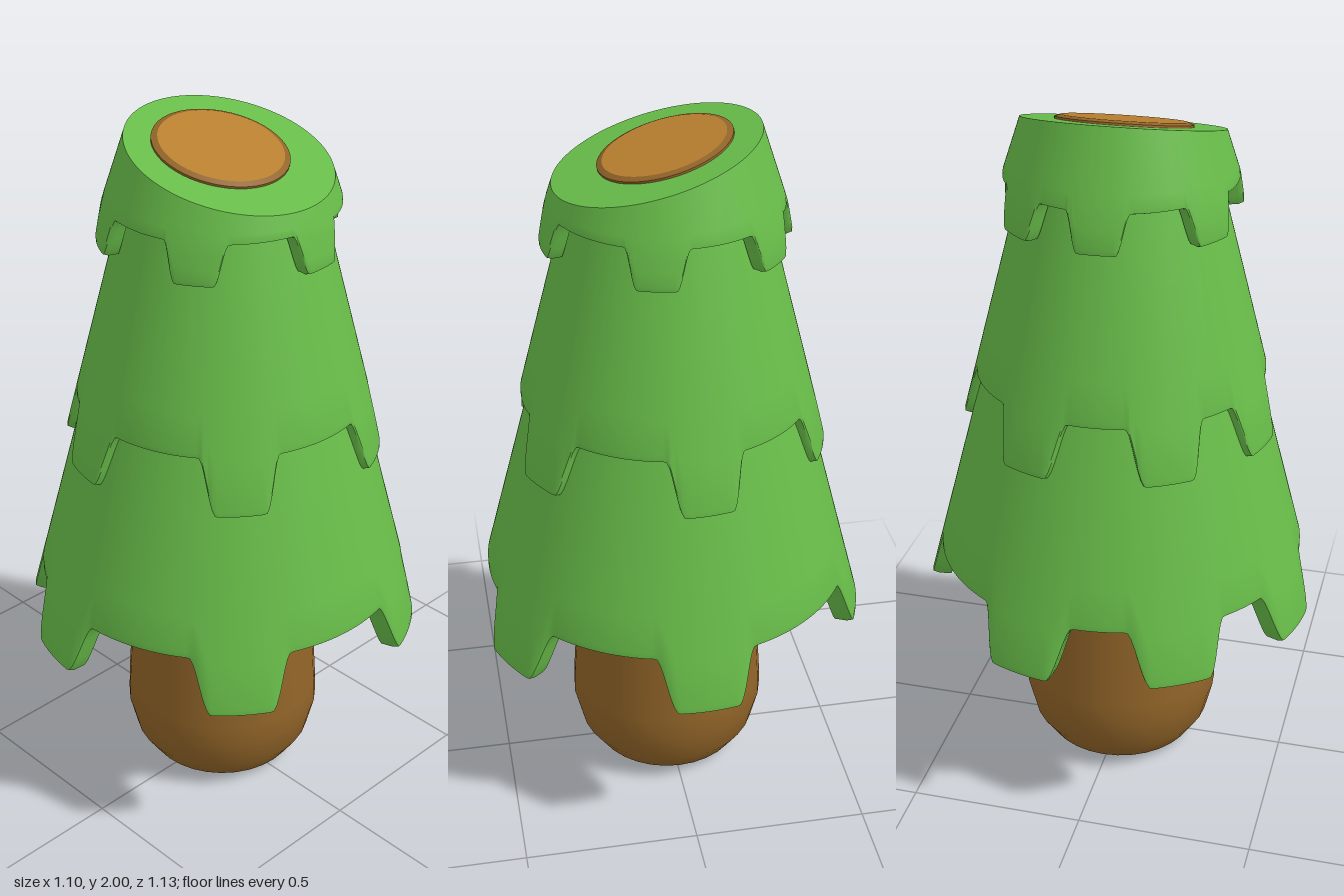
import * as THREE from 'three';
import { mergeVertices, toCreasedNormals } from 'three/addons/utils/BufferGeometryUtils.js';

const mat = (color) => new THREE.MeshStandardMaterial({ color });
const leaf = mat(0x68bd49), bark = mat(0x916428), wood = mat(0xb98030);
const SEGMENTS = 360;
const CUT_SLOPE = 0.273, CUT_Y = 1.932;

// 1 on a tab, 0 between tabs, with slanted, softened sides
function tabAmount(deg, tabs) {
  let best = 0;
  for (const t of tabs) {
    const d = Math.abs(((deg - t + 540) % 360 + 360) % 360 - 180);
    best = Math.max(best, 1 - THREE.MathUtils.smoothstep(d, 8.5, 15.5));
  }
  return best;
}

// Solid of rings: ringAt(deg) gives [radius, y] pairs from top centre to bottom centre
function ringSolid(ringAt) {
  const pos = [], index = [];
  let rows = 0;
  for (let i = 0; i <= SEGMENTS; i++) {
    const deg = (i % SEGMENTS) * 360 / SEGMENTS, a = THREE.MathUtils.degToRad(deg);
    const section = ringAt(deg, a);
    rows = section.length;
    for (const [r, y] of section) pos.push(r * Math.cos(a), y, r * Math.sin(a));
  }
  for (let i = 0; i < SEGMENTS; i++) {
    for (let j = 0; j < rows - 1; j++) {
      const a = i * rows + j, b = a + rows;
      index.push(a, b, a + 1, b, b + 1, a + 1);
    }
  }
  const g = new THREE.BufferGeometry();
  g.setAttribute('position', new THREE.Float32BufferAttribute(pos, 3));
  g.setIndex(index);
  return toCreasedNormals(mergeVertices(g, 1e-5), 0.75);
}

// Foliage tier: sloping skirt, rounded hem with hanging tabs, closed underside
function tier({ top, edge, drop, tabs, radius, thick, cut }) {
  return ringSolid((deg, a) => {
    const c = Math.cos(a);
    const rTop = cut ? 0.2727 / (1 - 0.091 * c) : radius(top);
    const yTop = cut ? CUT_Y - CUT_SLOPE * rTop * c : top;
    const hem = edge - drop * tabAmount(deg, tabs);
    const round = thick * 0.4;
    const section = [[0, cut ? CUT_Y : top], [rTop, yTop]];
    const low = hem + round;
    for (let k = 1; k <= 6; k++) {
      const y = THREE.MathUtils.lerp(yTop, low, k / 6);
      section.push([radius(y), y]);
    }
    const r = radius(hem);
    section.push([r - round * 0.25, hem + round * 0.3], [r - round, hem]);
    section.push([r - thick, hem], [radius(edge) - thick, edge + 0.005], [0, edge + 0.005]);
    return section;
  });
}

export function createModel() {
  const model = new THREE.Group();
  const add = (parent, name, geometry, material) => {
    const mesh = new THREE.Mesh(geometry, material);
    mesh.name = name;
    parent.add(mesh);
    return mesh;
  };

  // Trunk with a rounded foot
  const trunkProfile = [[0, 0], [0.17, 0.003], [0.225, 0.03], [0.265, 0.09], [0.287, 0.18],
    [0.285, 0.25], [0.272, 0.45], [0.255, 0.72]].map(([x, y]) => new THREE.Vector2(x, y));
  add(model, 'trunk', new THREE.LatheGeometry(trunkProfile, 32), bark);

  // Three overlapping tiers
  const lowTabs = [-92, -28, 39, 103, 149, 196];
  add(model, 'lowerFoliage', tier({
    top: 1.3, edge: 0.675, drop: 0.158, tabs: lowTabs, thick: 0.06,
    radius: (y) => 0.53 - 0.265 * (y - 0.68),
  }), leaf);
  add(model, 'middleFoliage', tier({
    top: 1.84, edge: 1.23, drop: 0.153, tabs: [-95, -29, 38, 104, 149, 202], thick: 0.05,
    radius: (y) => 0.41 - 0.26 * (y - 1.23),
  }), leaf);
  add(model, 'upperFoliage', tier({
    edge: 1.79, drop: 0.105, tabs: [-76, -5, 57, 120, 177, 222], thick: 0.045, cut: true,
    radius: (y) => (y > 1.79 ? 0.3 - (y - 1.85) / 3 : 0.32 - (y - 1.79) * 0.2),
  }), leaf);

  // Slanted cut at the top: bark rim around bare wood
  const stump = new THREE.Group();
  stump.name = 'cutTop';
  stump.position.set(0, CUT_Y, 0.008);
  stump.rotation.z = -Math.atan(CUT_SLOPE);
  const rim = [[0.184, -0.02], [0.184, 0.006], [0.168, 0.012]].map(([x, y]) => new THREE.Vector2(x, y));
  add(stump, 'barkRim', toCreasedNormals(new THREE.LatheGeometry(rim, 48), 0.5), bark);
  const disc = add(stump, 'cutWood', new THREE.CircleGeometry(0.168, 48), wood);
  disc.rotation.x = -Math.PI / 2;
  disc.position.y = 0.012;
  model.add(stump);

  return model;
}
